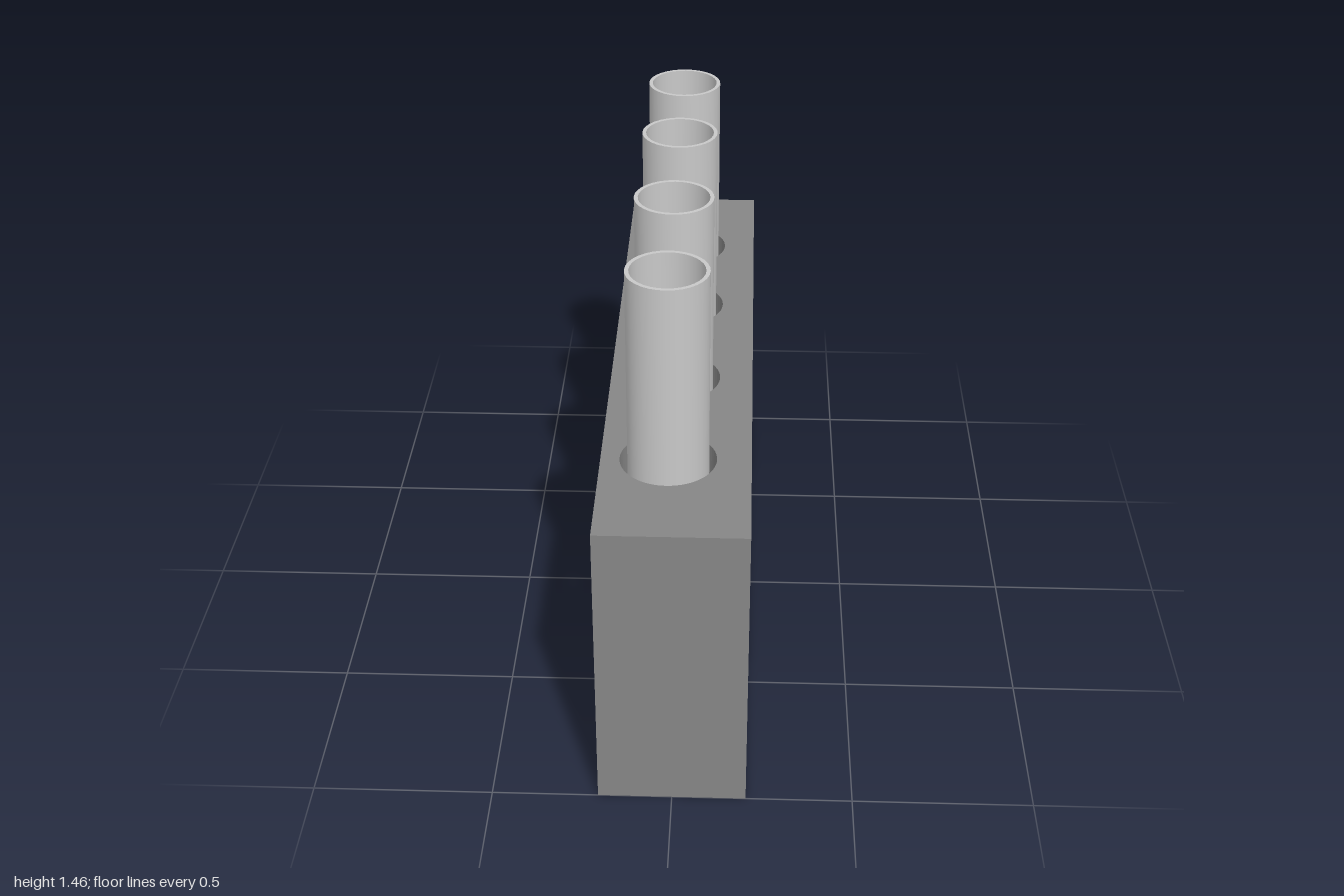
import * as THREE from 'three';

const paint = (name, color) => {
  const m = new THREE.MeshStandardMaterial({ color });
  m.name = name;
  return m;
};

export function createModel() {
  const rackGrey = paint('rackGrey', 0x868686);
  const tubeGrey = paint('tubeGrey', 0xc8c8c8);
  const green = paint('greenLiquid', 0x3cc44c);
  const brown = paint('brownLiquid', 0x553c10);

  const model = new THREE.Group();
  model.name = 'testTubeRack';
  const add = (parent, name, geometry, material, x, y, z) => {
    const mesh = new THREE.Mesh(geometry, material);
    mesh.name = name;
    mesh.position.set(x, y, z);
    parent.add(mesh);
    return mesh;
  };

  const W = 0.41, H = 0.882, wall = 0.11, tubeX = -0.021;
  const tubeZ = [0.635, 0.2, -0.245, -0.647];

  // Rack: base, end walls and two drilled shelves
  const rack = new THREE.Group();
  rack.name = 'rack';
  model.add(rack);
  add(rack, 'base', new THREE.BoxGeometry(W, 0.095, 2 - 2 * wall), rackGrey, 0, 0.0475, 0);
  for (const s of [1, -1]) {
    add(rack, s > 0 ? 'frontWall' : 'backWall',
      new THREE.BoxGeometry(W, H, wall), rackGrey, 0, H / 2, s * (1 - wall / 2));
  }
  const l = 1 - wall, w = W / 2;
  const plan = new THREE.Shape([[-w, -l], [w, -l], [w, l], [-w, l]].map(p => new THREE.Vector2(...p)));
  for (const z of tubeZ) {
    plan.holes.push(new THREE.Path().absarc(tubeX, -z, 0.132, 0, Math.PI * 2, true));
  }
  const shelf = new THREE.ExtrudeGeometry(plan, { depth: 0.106, bevelEnabled: false, curveSegments: 32 });
  shelf.rotateX(-Math.PI / 2);
  add(rack, 'middleShelf', shelf, rackGrey, 0, 0.34, 0);
  add(rack, 'topShelf', shelf, rackGrey, 0, H - 0.106, 0);

  // Tube wall: outside, rim, inside and floor; doubled points keep the edges sharp
  const points = list => list.map(p => new THREE.Vector2(...p));
  const tubeBody = new THREE.LatheGeometry(points([
    [0.111, 0.37], [0.111, 1.455], [0.111, 1.455], [0.1, 1.455], [0.1, 1.455],
    [0.1, 0.38], [0.1, 0.38], [0, 0.38],
  ]), 32);
  tubeBody.normalizeNormals();

  // Faceted pointed end
  const tubeTip = new THREE.LatheGeometry(points([
    [0, 0.117], [0.022, 0.122], [0.045, 0.151], [0.07, 0.205],
    [0.091, 0.268], [0.106, 0.33], [0.111, 0.37],
  ]), 18).toNonIndexed();
  tubeTip.computeVertexNormals();

  const fills = [brown, green, null, null];
  tubeZ.forEach((z, i) => {
    const tube = new THREE.Group();
    tube.name = 'testTube' + (i + 1);
    tube.position.set(tubeX, i === 3 ? -0.005 : 0, z);
    model.add(tube);
    add(tube, 'tubeBody', tubeBody, tubeGrey, 0, 0, 0);
    add(tube, 'tubeTip', tubeTip, tubeGrey, 0, 0, 0);
    if (fills[i]) {
      add(tube, 'liquid', new THREE.CylinderGeometry(0.1, 0.1, 0.4, 32), fills[i], 0, 0.585, 0);
    }
  });

  return model;
}
